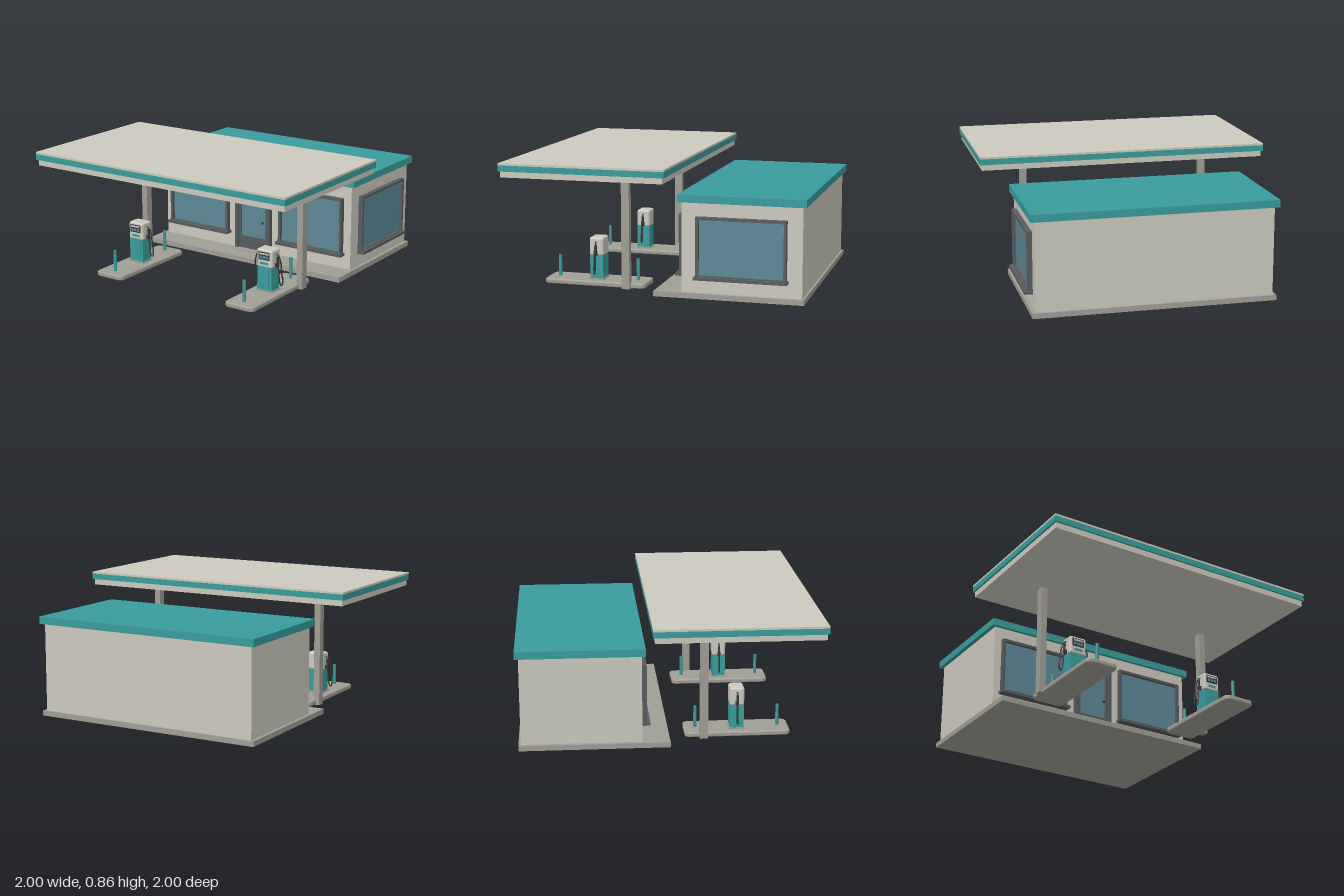
import * as THREE from 'three';
import { RoundedBoxGeometry } from 'three/addons/geometries/RoundedBoxGeometry.js';

const mat = (name, color) => {
  const m = new THREE.MeshStandardMaterial({ color });
  m.name = name;
  return m;
};

export function createModel() {
  const cream = mat('cream', 0xcccabe), teal = mat('teal', 0x3a9c9c);
  const concrete = mat('concrete', 0xa09e94), frame = mat('frame', 0x585c5e);
  const glass = mat('glass', 0x5d8896), dark = mat('dark rubber', 0x333638);

  const model = new THREE.Group();
  model.name = 'fuelStation';

  const add = (parent, name, geo, material, x = 0, y = 0, z = 0) => {
    const m = new THREE.Mesh(geo, material);
    m.name = name;
    m.position.set(x, y, z);
    parent.add(m);
    return m;
  };
  // box given by its extents along each axis
  const box = (parent, name, material, x0, x1, y0, y1, z0, z1) =>
    add(parent, name, new THREE.BoxGeometry(x1 - x0, y1 - y0, z1 - z0), material,
      (x0 + x1) / 2, (y0 + y1) / 2, (z0 + z1) / 2);
  const group = (parent, name, x = 0, y = 0, z = 0) => {
    const g = new THREE.Group();
    g.name = name;
    g.position.set(x, y, z);
    parent.add(g);
    return g;
  };
  // rectangular frame with an opening, from z = 0 to z = depth
  const frameGeo = (x0, x1, y0, y1, side, bottom, top, depth) => {
    const rect = (P, a, b, c, d) => new P([[a, c], [b, c], [b, d], [a, d]].map(p => new THREE.Vector2(...p)));
    const s = rect(THREE.Shape, x0, x1, y0, y1);
    s.holes.push(rect(THREE.Path, x0 + side, x1 - side, y0 + bottom, y1 - top));
    return new THREE.ExtrudeGeometry(s, { depth, bevelEnabled: false });
  };

  // Shop building
  const shop = group(model, 'shop');
  box(shop, 'foundation', concrete, -0.81, 0.81, 0, 0.035, -0.985, 0.01);
  box(shop, 'walls', cream, -0.787, 0.787, 0.035, 0.63, -0.97, -0.175);
  box(shop, 'roof', teal, -0.815, 0.815, 0.63, 0.68, -0.995, -0.152);

  // Windows: two in front, one on the left wall
  const addWindow = (name, width, x, z, turn) => {
    const g = group(shop, name, x, 0, z);
    g.rotation.y = turn;
    const h = width / 2;
    add(g, 'windowFrame', frameGeo(-h, h, 0.145, 0.54, 0.018, 0.01, 0.018, 0.034), frame);
    box(g, 'windowPane', glass, -h + 0.018, h - 0.018, 0.15, 0.525, 0.002, 0.01);
    box(g, 'windowSill', frame, -h - 0.01, h + 0.01, 0.13, 0.15, 0, 0.056);
  };
  addWindow('frontWindowRight', 0.515, -0.477, -0.175, 0);
  addWindow('frontWindowLeft', 0.515, 0.472, -0.175, 0);
  addWindow('sideWindow', 0.595, 0.787, -0.573, Math.PI / 2);

  // Entrance door
  const door = group(shop, 'door', -0.004, 0, -0.175);
  add(door, 'doorFrame', frameGeo(-0.148, 0.148, 0.035, 0.515, 0.024, 0.004, 0.024, 0.034), frame);
  add(door, 'doorLeaf', frameGeo(-0.124, 0.124, 0.039, 0.491, 0.021, 0.094, 0.026, 0.02), frame);
  box(door, 'doorPane', glass, -0.105, 0.105, 0.13, 0.468, 0.002, 0.01);
  box(door, 'doorStep', concrete, -0.155, 0.155, 0.035, 0.043, 0, 0.065);
  add(door, 'doorKnob', new THREE.SphereGeometry(0.01, 12, 8), dark, 0.084, 0.257, 0.028);

  // Canopy over the forecourt
  const canopy = group(model, 'canopy');
  box(canopy, 'canopySoffit', cream, -0.988, 0.988, 0.77, 0.811, -0.105, 0.988);
  box(canopy, 'canopyBand', teal, -1, 1, 0.81, 0.85, -0.117, 1);
  box(canopy, 'canopyTop', cream, -1, 1, 0.85, 0.864, -0.117, 1);

  // Island slab with rounded corners and softened edges
  const slab = new THREE.Shape();
  const w = 0.103, l = 0.345, r = 0.025;
  slab.absarc(w - r, l - r, r, 0, Math.PI / 2);
  slab.absarc(-w + r, l - r, r, Math.PI / 2, Math.PI);
  slab.absarc(-w + r, -l + r, r, Math.PI, Math.PI * 1.5);
  slab.absarc(w - r, -l + r, r, Math.PI * 1.5, Math.PI * 2);
  const slabGeo = new THREE.ExtrudeGeometry(slab, {
    depth: 0.015, bevelThickness: 0.01, bevelSize: 0.01, bevelSegments: 3, curveSegments: 6,
  });
  slabGeo.rotateX(-Math.PI / 2).translate(0, 0.01, 0);

  // Hose loop hanging beside the pump
  const hoseGeo = s => new THREE.TubeGeometry(new THREE.CatmullRomCurve3([
    [0.055, 0.295], [0.078, 0.285], [0.098, 0.24], [0.106, 0.17], [0.114, 0.11],
    [0.103, 0.08], [0.09, 0.1], [0.084, 0.15], [0.078, 0.215],
  ].map(([x, y]) => new THREE.Vector3(s * x, y, 0))), 36, 0.005, 8);

  for (const side of [-1, 1]) {
    box(canopy, 'canopyPost', concrete, side * 0.654 - 0.022, side * 0.654 + 0.022, 0, 0.772, 0.215, 0.27);

    const island = group(model, 'pumpIsland', side * 0.537, 0, 0);
    add(island, 'islandSlab', slabGeo, concrete, 0, 0, 0.472);
    for (const z of [0.195, 0.752]) {
      add(island, 'bollard', new THREE.CylinderGeometry(0.0115, 0.0115, 0.147, 16), teal, 0, 0.1075, z);
    }

    // Fuel pump
    const pump = group(island, 'fuelPump', 0, 0, 0.472);
    box(pump, 'pumpFoot', concrete, -0.064, 0.064, 0.035, 0.043, -0.054, 0.054);
    box(pump, 'pumpBody', teal, -0.056, 0.056, 0.043, 0.205, -0.046, 0.046);
    box(pump, 'pumpPanel', teal, -0.036, 0.036, 0.055, 0.19, 0.046, 0.05);
    add(pump, 'pumpHead', new RoundedBoxGeometry(0.122, 0.125, 0.098, 3, 0.014), cream, 0, 0.2615, 0);
    box(pump, 'displayPanel', dark, -0.043, 0.043, 0.254, 0.307, 0.047, 0.053);
    box(pump, 'upperDisplay', cream, -0.036, 0.036, 0.29, 0.301, 0.052, 0.055);
    for (const x of [-0.024, 0, 0.024]) {
      box(pump, 'displayWindow', glass, x - 0.009, x + 0.009, 0.262, 0.282, 0.052, 0.055);
    }
    box(pump, 'brandStrip', teal, -0.03, 0.03, 0.222, 0.238, 0.047, 0.052);

    // Hose, holster and nozzle on both sides
    for (const s of [-1, 1]) {
      add(pump, 'hose', hoseGeo(s), dark);
      box(pump, 'nozzleHolster', dark, s * 0.066 - 0.007, s * 0.066 + 0.007, 0.205, 0.232, -0.01, 0.01);
      const nozzle = add(pump, 'nozzle', new RoundedBoxGeometry(0.013, 0.07, 0.016, 2, 0.004), dark, s * 0.076, 0.243, 0);
      nozzle.rotation.z = s * 0.12;
    }
  }
  return model;
}
